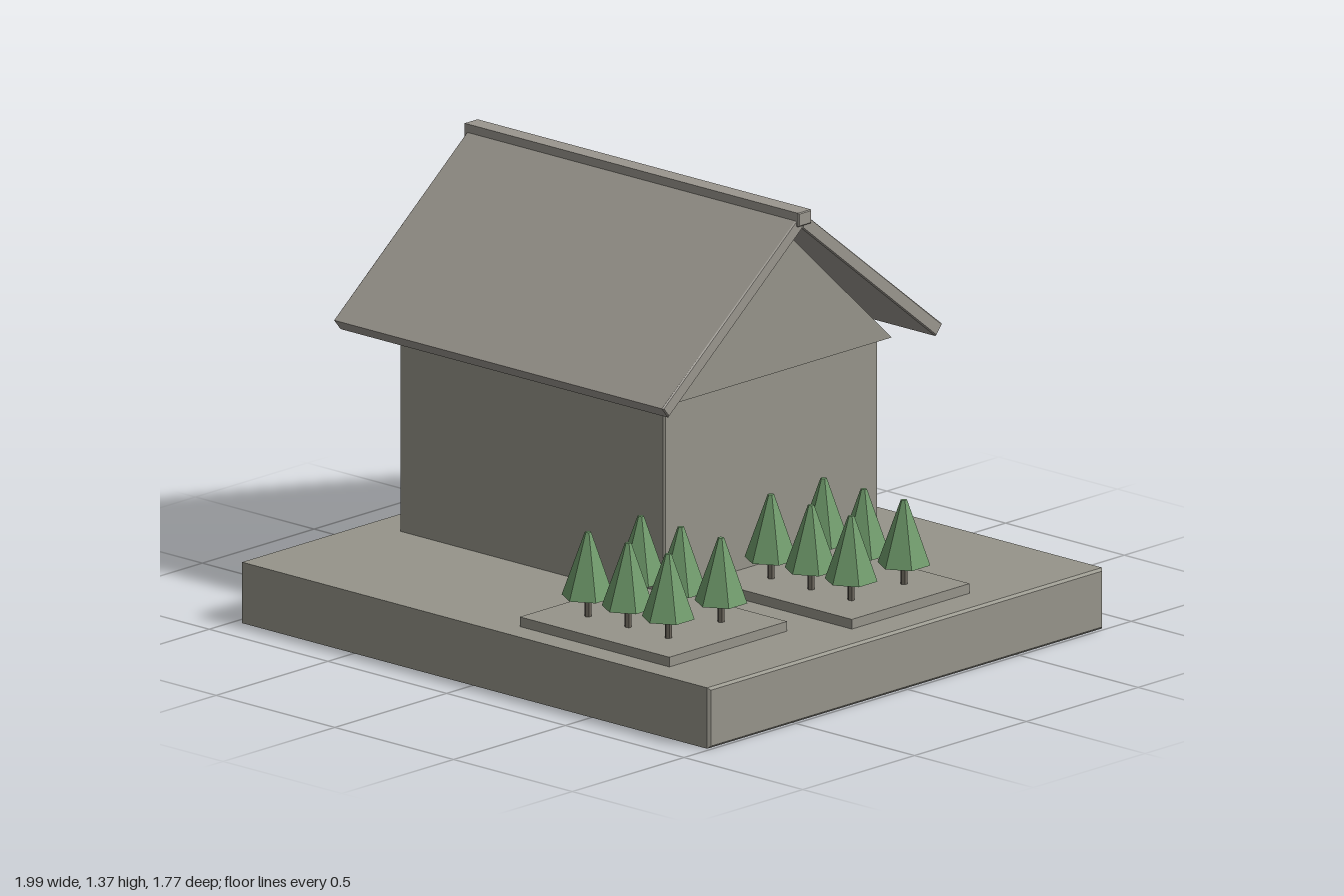
import * as THREE from 'three';

const material = (name, color) => {
  const m = new THREE.MeshStandardMaterial({ color });
  m.name = name;
  return m;
};

// Prism with softly chamfered edges; outline is [z, y] points, running from x0 to x1
function prism(outline, x0, x1, bevel) {
  const shape = new THREE.Shape(outline.map(([z, y]) => new THREE.Vector2(z, y)));
  const depth = x1 - x0 - 2 * bevel;
  const g = new THREE.ExtrudeGeometry(shape, {
    depth, bevelEnabled: bevel > 0, bevelThickness: bevel, bevelSize: bevel,
    bevelOffset: -bevel, bevelSegments: 1,
  });
  g.translate(0, 0, -depth / 2);
  g.rotateY(-Math.PI / 2);
  g.translate((x0 + x1) / 2, 0, 0);
  return g;
}

// Axis-aligned chamfered box given by its limits
function block(x0, x1, y0, y1, z0, z1, bevel = 0) {
  return prism([[z0, y0], [z1, y0], [z1, y1], [z0, y1]], x0, x1, bevel);
}

function faceted(geometry) {
  const g = geometry.toNonIndexed();
  g.computeVertexNormals();
  return g;
}

export function createModel() {
  const stone = material('stone', 0x96948a);
  const roofing = material('roofing', 0x9a968e);
  const foliage = material('foliage', 0x6f9a6b);
  const bark = material('bark', 0x6b665c);

  const model = new THREE.Group();
  model.name = 'houseWithGarden';
  const add = (name, geometry, mat, parent = model) => {
    const mesh = new THREE.Mesh(geometry, mat);
    mesh.name = name;
    parent.add(mesh);
    return mesh;
  };

  // Ground slab and house body
  add('base', block(-0.98, 0.995, 0, 0.195, -0.883, 0.883, 0.008), stone);
  add('walls', block(-0.85, 0.267, 0.19, 0.835, -0.647, 0.31, 0.006), stone);

  // Gable triangles, one at each end
  const ridgeZ = -0.168;
  const gable = [[ridgeZ - 0.512, 0.833], [ridgeZ + 0.512, 0.833], [ridgeZ, 1.31]];
  add('leftGable', prism(gable, 0.222, 0.292, 0), stone);
  add('rightGable', prism(gable, -0.875, -0.805, 0), stone);

  // Two sloping roof panels meeting under the ridge cap
  for (const side of [1, -1]) {
    const outline = [[0, 1.315], [0.598, 0.84], [0.626, 0.874], [0, 1.368]]
      .map(([d, y]) => [ridgeZ + side * d, y]);
    add(side > 0 ? 'frontRoofPanel' : 'backRoofPanel', prism(outline, -0.988, 0.4, 0.004), roofing);
  }
  add('ridgeCap', block(-1, 0.41, 1.328, 1.372, ridgeZ - 0.029, ridgeZ + 0.029, 0.003), roofing);

  // Garden beds, each planted with two rows of three trees
  const trunk = faceted(new THREE.CylinderGeometry(0.011, 0.011, 0.075, 6));
  const crown = faceted(new THREE.CylinderGeometry(0.01, 0.083, 0.205, 6));
  const beds = [
    { name: 'frontBed', x: 0.12, z: 0.273, rows: [0.414, 0.65], columns: [0.266, 0.435, 0.604] },
    { name: 'sideBed', x: 0.25, z: -0.405, rows: [-0.265, -0.029], columns: [0.397, 0.566, 0.735] },
  ];
  for (const { name, x, z, rows, columns } of beds) {
    const bed = new THREE.Group();
    bed.name = name;
    model.add(bed);
    add('bedSlab', block(x, x + 0.63, 0.19, 0.226, z, z + 0.527), stone, bed);
    for (const tz of rows) {
      for (const tx of columns) {
        const tree = new THREE.Group();
        tree.name = 'tree';
        tree.position.set(tx, 0, tz);
        bed.add(tree);
        add('trunk', trunk, bark, tree).position.y = 0.2575;
        add('crown', crown, foliage, tree).position.y = 0.3925;
      }
    }
  }
  return model;
}
